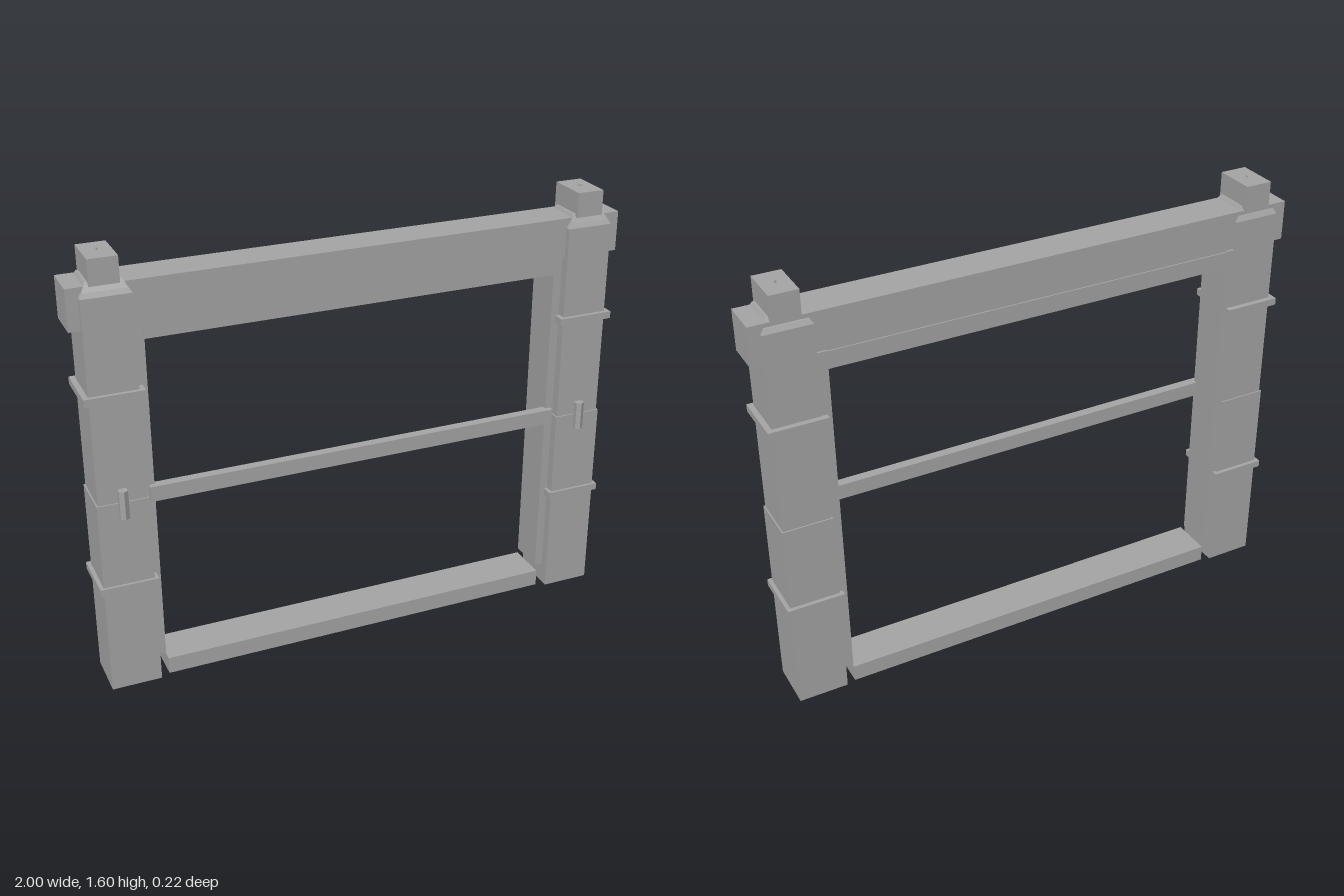
import * as THREE from 'three';

const stone = new THREE.MeshStandardMaterial({ color: 0xa6a6a6, side: THREE.DoubleSide });
stone.name = 'grey';

// Box given by its limits; open leaves out the underside
function box(name, x0, x1, y0, y1, z0, z1, open = false) {
  const g = new THREE.BoxGeometry(x1 - x0, y1 - y0, z1 - z0);
  if (open) {
    const index = Array.from(g.index.array);
    index.splice(18, 6);
    g.setIndex(index);
  }
  g.translate((x0 + x1) / 2, (y0 + y1) / 2, (z0 + z1) / 2);
  const m = new THREE.Mesh(g, stone);
  m.name = name;
  return m;
}

// Box whose top face is drawn in by an inset
function taperedBox(name, x0, x1, y0, y1, z0, z1, insetX, insetZ) {
  const m = box(name, x0, x1, y0, y1, z0, z1);
  const p = m.geometry.attributes.position;
  const cx = (x0 + x1) / 2, cz = (z0 + z1) / 2;
  for (let i = 0; i < p.count; i++) {
    if (p.getY(i) < (y0 + y1) / 2) continue;
    p.setX(i, p.getX(i) - Math.sign(p.getX(i) - cx) * insetX);
    p.setZ(i, p.getZ(i) - Math.sign(p.getZ(i) - cz) * insetZ);
  }
  m.geometry.computeVertexNormals();
  return m;
}

function createPost(side) {
  const post = new THREE.Group();
  post.name = side > 0 ? 'leftPost' : 'rightPost';
  const add = (make, name, x0, x1, ...rest) =>
    post.add(side > 0 ? make(name, x0, x1, ...rest) : make(name, -x1, -x0, ...rest));

  // Shaft in two lengths, with a bevelled head
  add(box, 'lowerShaft', 0.785, 0.965, 0, 0.735, -0.095, 0.085, true);
  add(box, 'upperShaft', 0.79, 0.96, 0.735, 1.465, -0.09, 0.08, true);
  add(taperedBox, 'shoulder', 0.79, 0.96, 1.465, 1.482, -0.09, 0.08, 0.01, 0.008);
  add(taperedBox, 'neck', 0.8, 0.95, 1.482, 1.512, -0.082, 0.072, 0.016, 0.018);

  // Cap block with a tiny pin
  add(box, 'cap', 0.825, 0.925, 1.5, 1.59, -0.085, 0.07);
  const pin = new THREE.Mesh(new THREE.CylinderGeometry(0.004, 0.006, 0.01, 6), stone);
  pin.name = 'pin';
  pin.position.set(side * 0.875, 1.592, -0.008);
  post.add(pin);

  // Bands round the shaft
  for (const y of [0.407, 1.12]) add(box, 'band', 0.772, 0.979, y - 0.013, y + 0.013, -0.11, 0.095);

  // Jamb strip on the inner face
  add(box, 'jamb', 0.755, 0.787, 0.08, 1.36, -0.088, 0.05);

  // Six-sided peg on the front
  const peg = new THREE.Mesh(new THREE.CylinderGeometry(0.018, 0.018, 0.105, 6).toNonIndexed(), stone);
  peg.geometry.computeVertexNormals();
  peg.name = 'peg';
  peg.position.set(side * 0.875, 0.733, 0.093);
  post.add(peg);
  return post;
}

export function createModel() {
  const gate = new THREE.Group();
  gate.name = 'gateFrame';
  gate.add(createPost(1), createPost(-1));
  // Crossing members
  gate.add(
    box('topBeam', -1, 1, 1.355, 1.5, -0.08, 0.06),
    box('lintel', -0.757, 0.757, 1.293, 1.356, -0.085, 0.055),
    box('middleRail', -0.775, 0.775, 0.707, 0.763, 0.035, 0.07),
    box('sill', -0.752, 0.752, 0, 0.063, -0.085, 0.068, true),
  );
  return gate;
}
